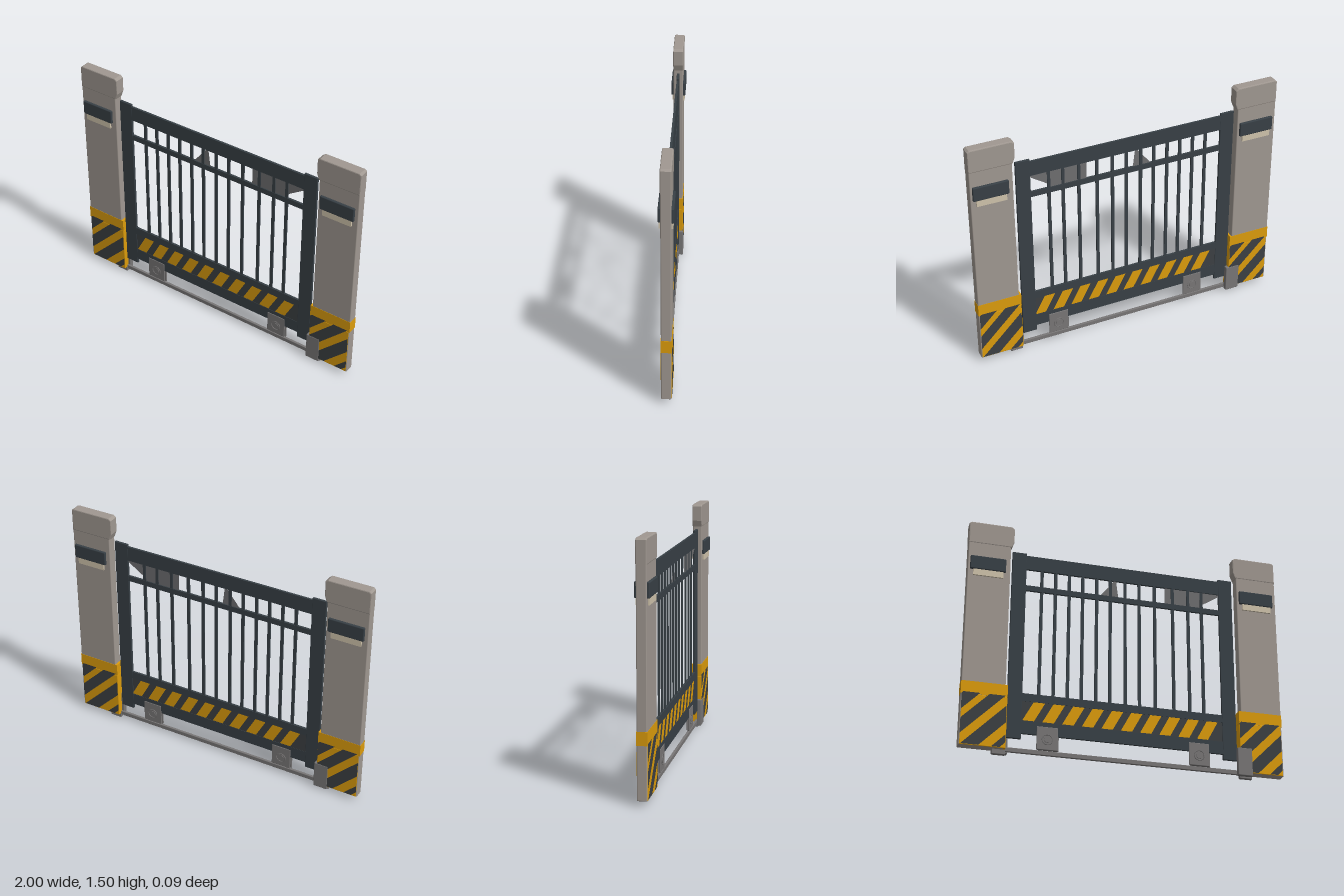
import * as THREE from 'three';
import { RoundedBoxGeometry } from 'three/addons/geometries/RoundedBoxGeometry.js';

const mat = (name, color, side = THREE.FrontSide) => {
  const m = new THREE.MeshStandardMaterial({ color, side });
  m.name = name;
  return m;
};

export function createModel() {
  const stone = mat('pillar grey', 0xa09891);
  const steel = mat('gate dark steel', 0x384046);
  const yellow = mat('warning yellow', 0xdc9c0c);
  const black = mat('stripe dark', 0x3c4043);
  const cream = mat('lamp cream', 0xd0c4ac);
  const metal = mat('bare metal', 0x787676);
  const pane = mat('pane grey', 0x6e6e70, THREE.DoubleSide);

  const model = new THREE.Group();
  model.name = 'slidingGate';

  const add = (parent, name, geo, material) => {
    const m = new THREE.Mesh(geo, material);
    m.name = name;
    parent.add(m);
    return m;
  };
  // Box given by its limits; r > 0 rounds the edges
  const box = (parent, name, material, x0, x1, y0, y1, z0, z1, r = 0) => {
    const size = [x1 - x0, y1 - y0, z1 - z0];
    const geo = r ? new RoundedBoxGeometry(...size, 2, r) : new THREE.BoxGeometry(...size);
    const m = add(parent, name, geo, material);
    m.position.set((x0 + x1) / 2, (y0 + y1) / 2, (z0 + z1) / 2);
    return m;
  };
  const plate = (parent, name, material, pts, z) => {
    const shape = new THREE.Shape(pts.map(p => new THREE.Vector2(p[0], p[1])));
    add(parent, name, new THREE.ShapeGeometry(shape), material).position.z = z;
  };
  // Keep the part of a polygon where f >= 0
  const clip = (pts, f) => pts.flatMap((p, i) => {
    const q = pts[(i + 1) % pts.length], a = f(p), b = f(q), out = [];
    if (a >= 0) out.push(p);
    if (a * b < 0) {
      const t = a / (a - b);
      out.push([p[0] + (q[0] - p[0]) * t, p[1] + (q[1] - p[1]) * t]);
    }
    return out;
  });

  // Pillars
  for (const s of [-1, 1]) {
    const pillar = new THREE.Group();
    pillar.name = s > 0 ? 'leftPillar' : 'rightPillar';
    model.add(pillar);
    const side = (name, material, xa, xb, ...rest) =>
      box(pillar, name, material, Math.min(s * xa, s * xb), Math.max(s * xa, s * xb), ...rest);
    side('pillarBody', stone, 0.735, 0.999, 0.03, 1.42, -0.03, 0.03, 0.006);
    side('warningBase', yellow, 0.722, 0.994, 0.032, 0.35, -0.0315, 0.0315, 0.004);
    side('warningBand', yellow, 0.722, 1, 0.35, 0.43, -0.0315, 0.0315);

    // Overhanging cap with a sloped underside on the inner edge
    const cap = new THREE.Shape([
      [0.735, 1.36], [0.994, 1.36], [0.994, 1.487], [0.985, 1.494],
      [0.735, 1.494], [0.722, 1.484], [0.722, 1.395],
    ].map(p => new THREE.Vector2(s * p[0], p[1])));
    add(pillar, 'pillarCap', new THREE.ExtrudeGeometry(cap, {
      depth: 0.052, bevelSize: 0.006, bevelThickness: 0.006, bevelSegments: 2,
    }), stone).position.z = -0.026;
    side('railFoot', metal, 0.72, 0.8, 0, 0.04, -0.012, 0.012, 0.004);
  }

  // Gate frame
  const gate = new THREE.Group();
  gate.name = 'gate';
  model.add(gate);
  const T = 0.007;
  box(gate, 'gatePost', steel, -0.72, -0.63, 0.11, 1.34, -T - 0.001, T + 0.001, 0.003);
  box(gate, 'gatePost', steel, 0.62, 0.71, 0.11, 1.34, -T - 0.001, T + 0.001, 0.003);
  for (const [name, y0, y1] of [
    ['topBeam', 1.23, 1.325], ['upperRail', 1.085, 1.12],
    ['lowerRail', 0.35, 0.4], ['bottomBeam', 0.145, 0.225],
  ]) box(gate, name, steel, -0.64, 0.63, y0, y1, -T, T);
  box(gate, 'stripeBoard', black, -0.64, 0.63, 0.22, 0.355, -0.005, 0.005);

  // Upright bars
  for (const x of [-0.53, -0.443, -0.356, -0.27, -0.18, -0.093, 0.003, 0.094, 0.195, 0.313, 0.415, 0.505])
    box(gate, 'bar', steel, x - 0.0095, x + 0.0095, 0.39, 1.24, -0.005, 0.005);

  // Grey panes between the upper rails
  plate(gate, 'pane', pane, [[-0.165, 1.11], [-0.04, 1.11], [-0.055, 1.23], [-0.07, 1.23]], 0);
  plate(gate, 'pane', pane, [[0.262, 1.11], [0.495, 1.11], [0.495, 1.135], [0.625, 1.22], [0.625, 1.235], [0.262, 1.235]], 0);

  // Ground rail
  box(model, 'groundRail', metal, -0.78, 0.78, 0.022, 0.05, -0.008, 0.008, 0.003);

  // Details repeated on both faces by a half turn
  for (const turn of [0, Math.PI]) {
    const face = new THREE.Group();
    face.name = turn ? 'backDetails' : 'frontDetails';
    face.rotation.y = turn;
    model.add(face);

    for (const [x0, lampX0, lampX1] of [[-0.994, -0.985, -0.764], [0.724, 0.75, 0.976]]) {
      // Lamp with a cream lens below its hood
      box(face, 'lampHood', steel, lampX0, lampX1, 1.17, 1.26, 0.025, 0.045, 0.006);
      box(face, 'lampLens', cream, lampX0 + 0.02, lampX1 - 0.015, 1.13, 1.175, 0.028, 0.04);

      // Diagonal stripes at the pillar foot
      const area = [[x0, 0.036], [x0 + 0.268, 0.036], [x0 + 0.268, 0.36], [x0, 0.36]];
      for (const [lo, hi] of [[0.25, 0.35], [0.1, 0.195], [-0.075, 0.03], [-0.2, -0.15]]) {
        const c = p => p[1] - (p[0] - x0);
        const pts = clip(clip(area, p => c(p) - lo), p => hi - c(p));
        if (pts.length > 2) plate(face, 'pillarStripe', black, pts, 0.0325);
      }
    }

    // Slanted stripes on the gate board
    for (let i = 0; i < 10; i++) {
      const x = -0.625 + i * 0.12;
      plate(face, 'gateStripe', yellow, [[x, 0.228], [x + 0.07, 0.228], [x + 0.135, 0.349], [x + 0.065, 0.349]], 0.0062);
    }

    // Roller plates with round hubs
    for (const x of [-0.473, 0.465]) {
      box(face, 'rollerPlate', metal, x - 0.064, x + 0.064, 0.055, 0.2, 0, 0.01, 0.004);
      const hub = add(face, 'rollerHub', new THREE.CylinderGeometry(0.02, 0.02, 0.004, 16), metal);
      hub.rotation.x = Math.PI / 2;
      hub.position.set(x, 0.12, 0.011);
      add(face, 'rollerRing', new THREE.TorusGeometry(0.031, 0.003, 6, 20), metal).position.set(x, 0.12, 0.01);
    }

    // End stop clasping the pillar corner
    box(face, 'endStop', metal, 0.705, 0.798, 0.012, 0.19, 0.004, 0.0345, 0.005);
  }

  return model;
}
